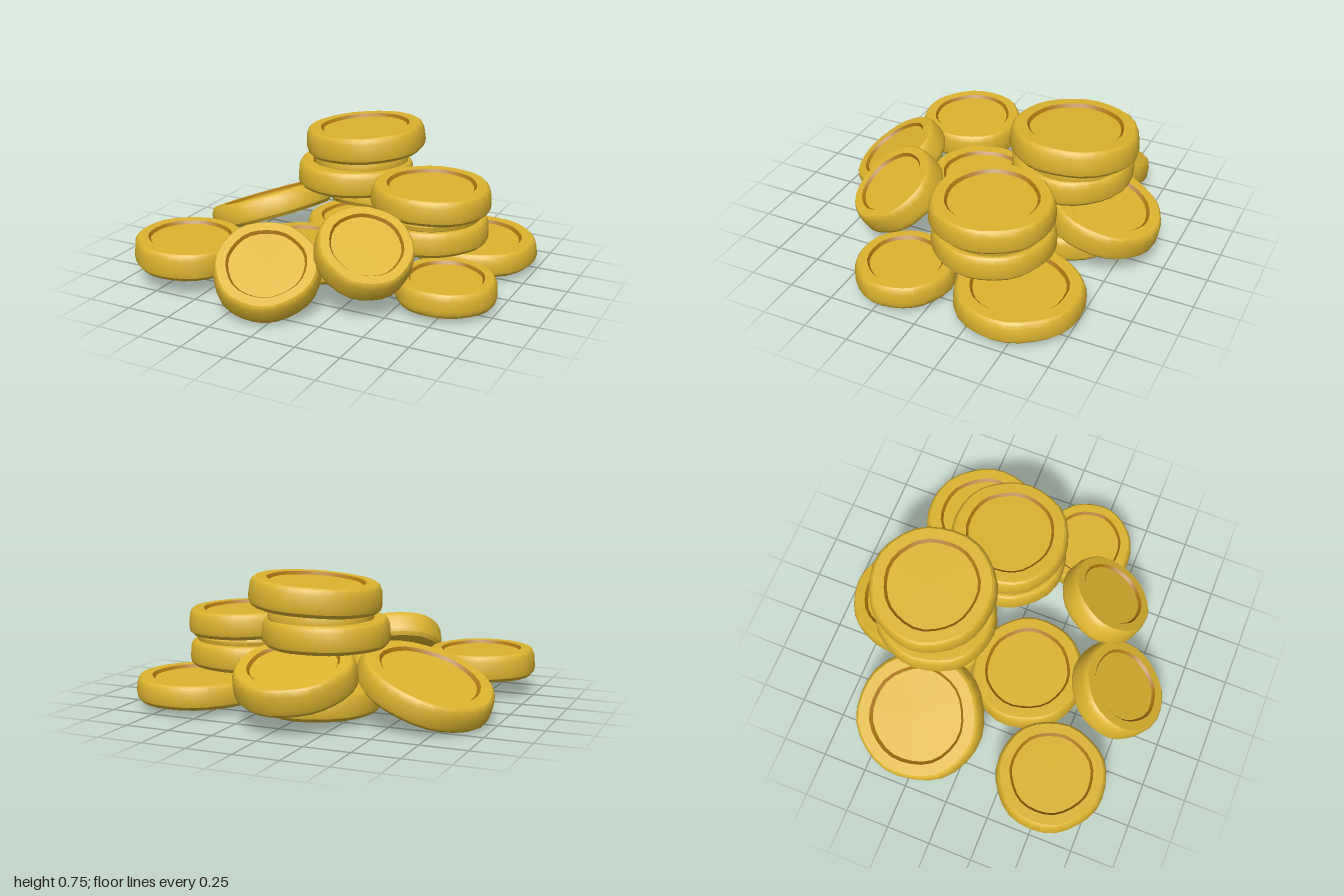
import * as THREE from 'three';
import { mergeGeometries, toCreasedNormals } from 'three/addons/utils/BufferGeometryUtils.js';

const SEGMENTS = 28;

// Lathe a run of [radius, height] points, with a slightly hand-cut outline.
function ring(points, seed) {
  const geo = new THREE.LatheGeometry(points.map(([r, y]) => new THREE.Vector2(r, y)), SEGMENTS);
  const p = geo.attributes.position;
  for (let i = 0; i < p.count; i++) {
    const x = p.getX(i), z = p.getZ(i), a = Math.atan2(z, x);
    const k = 1 + 0.011 * Math.sin(3 * a + seed) + 0.008 * Math.sin(7 * a + seed * 2.3);
    p.setX(i, x * k);
    p.setZ(i, z * k);
  }
  return toCreasedNormals(geo, 0.5);
}

export function createModel() {
  const gold = new THREE.MeshStandardMaterial({ color: 0xdbb32f });
  gold.name = 'gold';
  const darkGold = new THREE.MeshStandardMaterial({ color: 0xa8740f });
  darkGold.name = 'dark gold';

  // One coin: centre, radius, thickness and the direction its face points.
  function coin(name, [x, y, z], r, t, normal, seed) {
    const h = t / 2, floor = h - 0.016;
    const inner = 0.7 * r, lip = 0.745 * r;
    const body = mergeGeometries([
      ring([[0, -floor], [inner, -floor]], seed),
      ring([[lip, -h], [0.93 * r, -h], [0.985 * r, -h + 0.02], [r, -h + 0.045],
        [0.985 * r, h - 0.035], [0.955 * r, h - 0.01], [0.92 * r, h], [lip, h]], seed),
      ring([[inner, floor], [0, floor]], seed),
    ]);
    const grooves = mergeGeometries([
      ring([[inner, -floor], [lip, -h]], seed),
      ring([[lip, h], [inner, floor]], seed),
    ]);
    const group = new THREE.Group();
    group.name = name;
    const bodyMesh = new THREE.Mesh(body, gold);
    bodyMesh.name = 'coinBody';
    const grooveMesh = new THREE.Mesh(grooves, darkGold);
    grooveMesh.name = 'coinGroove';
    group.add(bodyMesh, grooveMesh);
    group.position.set(x, y, z);
    group.quaternion.setFromUnitVectors(new THREE.Vector3(0, 1, 0), new THREE.Vector3(...normal).normalize());
    return group;
  }

  const coins = [
    // central stack
    ['stackBase', [-0.07, 0.115, -0.41], 0.325, 0.14, [0, 1, 0]],
    ['stackMiddle', [-0.11, 0.465, -0.4], 0.34, 0.145, [0, 1, 0]],
    ['stackSmall', [-0.08, 0.55, -0.42], 0.275, 0.11, [-0.03, 1, 0]],
    ['stackTop', [-0.06, 0.665, -0.432], 0.35, 0.15, [-0.07, 1, 0.01]],
    // stack on the left side
    ['sideStackBase', [0.65, 0.11, -0.43], 0.347, 0.13, [0, 1, 0]],
    ['sideStackMiddle', [0.45, 0.28, -0.19], 0.337, 0.14, [0, 1, 0.01]],
    ['sideStackSmall', [0.46, 0.37, -0.19], 0.29, 0.08, [0, 1, 0]],
    ['sideStackTop', [0.465, 0.46, -0.19], 0.336, 0.14, [0.02, 1, 0]],
    // flat coins on the floor
    ['floorCoinSide', [0.72, 0.108, 0.2], 0.273, 0.13, [0.01, 1, 0]],
    ['floorCoinMiddle', [-0.155, 0.13, 0.165], 0.325, 0.16, [0.01, 1, -0.05]],
    ['floorCoinFront', [-0.685, 0.185, 0.505], 0.308, 0.15, [0.02, 1, 0]],
    // leaning coins
    ['leaningCoinBack', [-0.03, 0.26, -0.625], 0.325, 0.15, [0, 1, -0.28]],
    ['leaningCoinSide', [-0.63, 0.2, -0.3], 0.37, 0.14, [-0.38, 1, -0.12]],
    ['leaningCoinFront', [-0.09, 0.225, 0.68], 0.283, 0.15, [0.24, 0.82, 0.48]],
    ['leaningCoinCorner', [0.355, 0.325, 0.44], 0.263, 0.15, [0.38, 0.82, 0.4]],
  ];

  const model = new THREE.Group();
  model.name = 'coinPile';
  coins.forEach((c, i) => model.add(coin(...c, i * 1.7)));
  return model;
}
